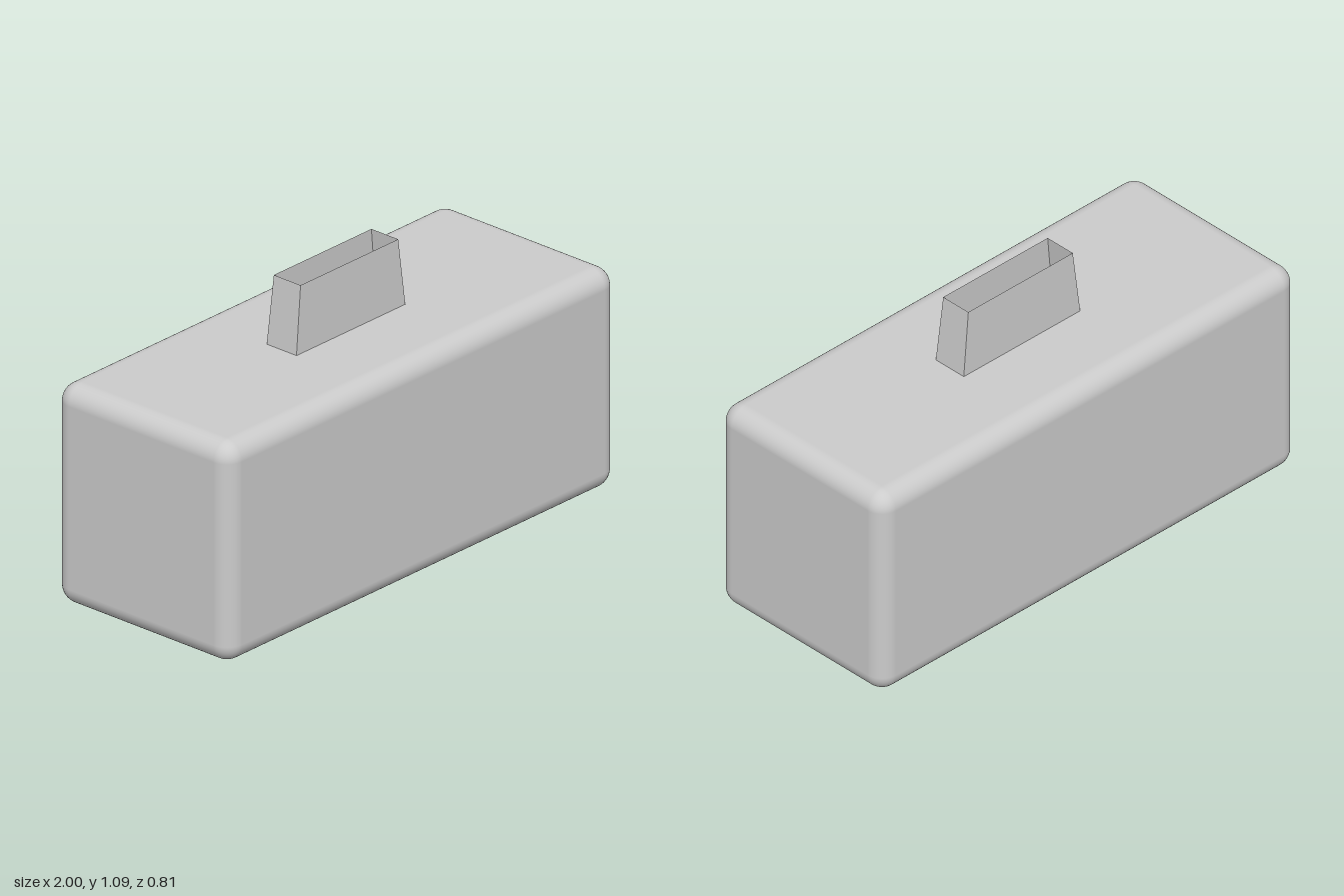
import * as THREE from 'three';
import { RoundedBoxGeometry } from 'three/addons/geometries/RoundedBoxGeometry.js';

export function createModel() {
  const group = new THREE.Group();

  // Solid block with softly rounded edges
  const body = new THREE.Mesh(
    new RoundedBoxGeometry(2, 0.835, 0.81, 6, 0.07),
    new THREE.MeshStandardMaterial({ color: 0xcccccc })
  );
  body.name = 'body';
  body.position.y = 0.835 / 2;
  group.add(body);

  // Thin, open rectangular collar that tapers upwards
  const height = 0.255;
  const collarGeometry = new THREE.CylinderGeometry(0.897 * Math.SQRT2, Math.SQRT2, height, 4, 1, true)
    .rotateY(Math.PI / 4)
    .scale(0.279, 1, 0.069);
  const collar = new THREE.Mesh(
    collarGeometry,
    new THREE.MeshStandardMaterial({ color: 0xcccccc, flatShading: true, side: THREE.DoubleSide })
  );
  collar.name = 'collar';
  collar.position.y = 0.835 + height / 2;
  group.add(collar);

  return group;
}
